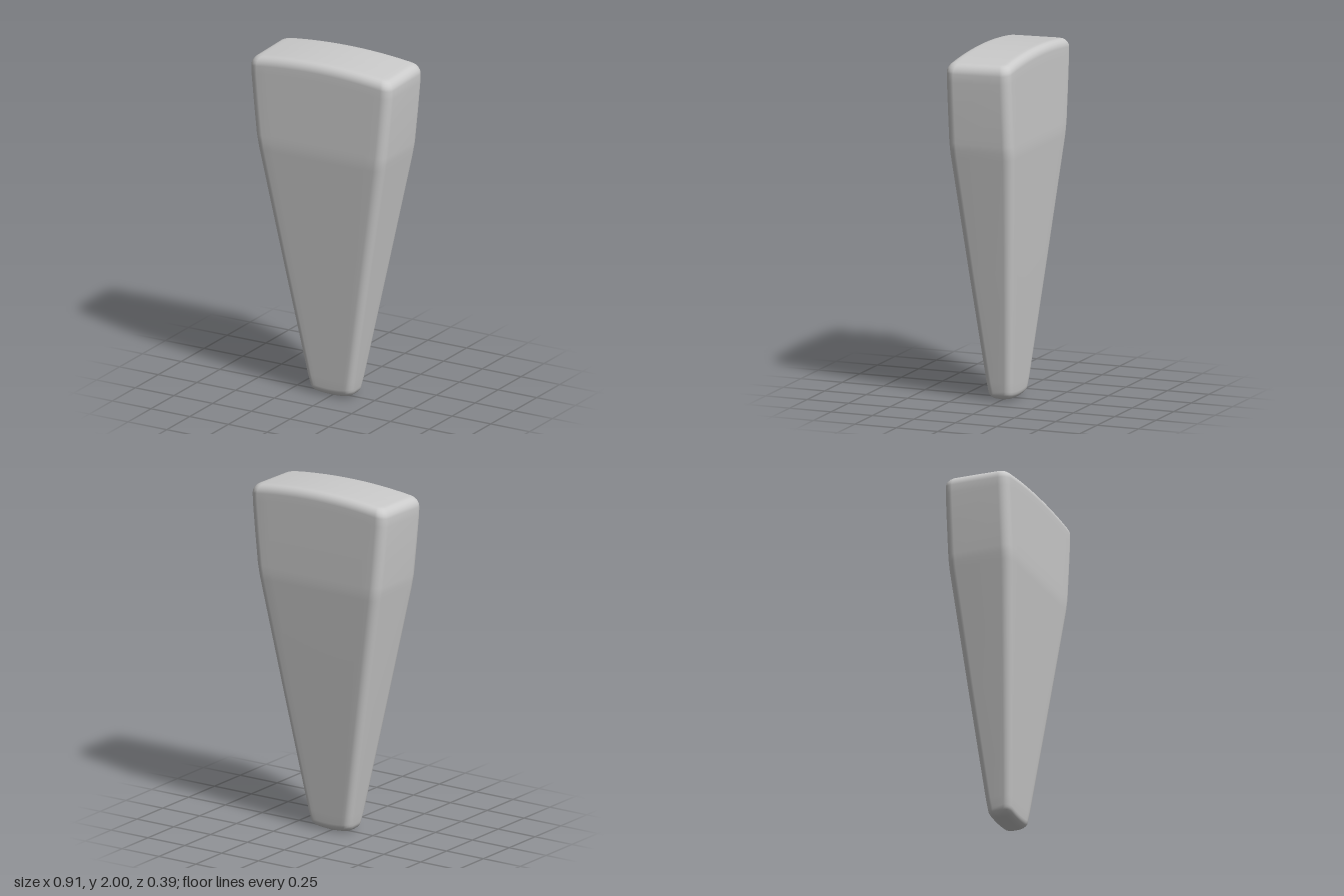
import * as THREE from 'three';

const CORNER = 5; // segments per rounded corner
const SPAN = 12; // segments along the broad faces

// Rounded rectangle outline in the xz plane, running from front (+z) to +x, back and -x
function outline(hw, hd, r) {
  const pts = [];
  const corners = [[1, 1, 0], [1, -1, 1], [-1, -1, 2], [-1, 1, 3]];
  corners.forEach(([sx, sz, q]) => {
    for (let i = 0; i <= CORNER; i++) {
      const a = (q + i / CORNER) * Math.PI / 2;
      pts.push([sx * (hw - r) + r * Math.sin(a), sz * (hd - r) + r * Math.cos(a)]);
    }
    // Subdivide the broad back and front edges so the ends can bow
    if (q === 1 || q === 3) {
      for (let i = 1; i < SPAN; i++) {
        pts.push([sx * -1 * (hw - r) * (1 - 2 * i / SPAN) * -1, sz * hd]);
      }
    }
  });
  return pts;
}

// Bow the two ends: arched crown (slightly lower in front) and a gently curved tip
function bow(x, y, z) {
  const crown = THREE.MathUtils.smoothstep(y, 1.6, 1.95);
  const tip = 1 - THREE.MathUtils.smoothstep(y, 0, 0.2);
  return y - crown * (0.16 * x * x + 0.025 * (z + 0.15)) * 1 + tip * 0.8 * x * x;
}

// Join stacked sections [y, halfWidth, halfDepth, cornerRadius] into one skin
function loft(sections) {
  const pos = [];
  const index = [];
  let n = 0;
  sections.forEach(([y, hw, hd, r]) => {
    const ring = outline(hw, hd, r);
    n = ring.length;
    ring.forEach(([x, z]) => pos.push(x, bow(x, y, z), z));
  });
  for (let s = 0; s < sections.length - 1; s++) {
    for (let i = 0; i < n; i++) {
      const a = s * n + i;
      const b = s * n + (i + 1) % n;
      index.push(a, b, b + n, a, b + n, a + n);
    }
  }
  const geo = new THREE.BufferGeometry();
  geo.setAttribute('position', new THREE.Float32BufferAttribute(pos, 3));
  geo.setIndex(index);
  geo.computeVertexNormals();
  return geo;
}

export function createModel() {
  const group = new THREE.Group();
  group.name = 'taperedWedge';

  const sections = [[0, 0.08, 0, 0], [0, 0.1, 0.025, 0.015]];
  // Rounded lower edge
  for (let i = 1; i <= 5; i++) {
    const a = i / 5 * Math.PI / 2;
    sections.push([0.045 * (1 - Math.cos(a)), 0.1 + 0.04 * Math.sin(a), 0.027 + 0.046 * Math.sin(a), 0.018 + 0.022 * Math.sin(a)]);
  }
  // Tapering shaft, then the nearly straight head
  sections.push(
    [0.1, 0.152, 0.079, 0.04],
    [0.75, 0.275, 0.135, 0.046],
    [1.43, 0.405, 0.192, 0.054],
    [1.47, 0.412, 0.194, 0.055],
    [1.51, 0.419, 0.195, 0.055],
    [1.7, 0.438, 0.195, 0.055],
    [1.9, 0.454, 0.195, 0.055],
  );
  // Rounded upper edge
  for (let i = 0; i <= 5; i++) {
    const a = i / 5 * Math.PI / 2;
    const inset = 0.045 * (1 - Math.cos(a));
    sections.push([1.95 + 0.05 * Math.sin(a), 0.455 - inset, 0.195 - inset, 0.055 - 0.6 * inset]);
  }
  // Crown surface closing on its centre line
  sections.push([2, 0.395, 0.13, 0.02], [2, 0.38, 0, 0]);

  const body = new THREE.Mesh(loft(sections), new THREE.MeshStandardMaterial({ color: 0xcccccc }));
  body.name = 'wedgeBody';
  group.add(body);
  return group;
}
